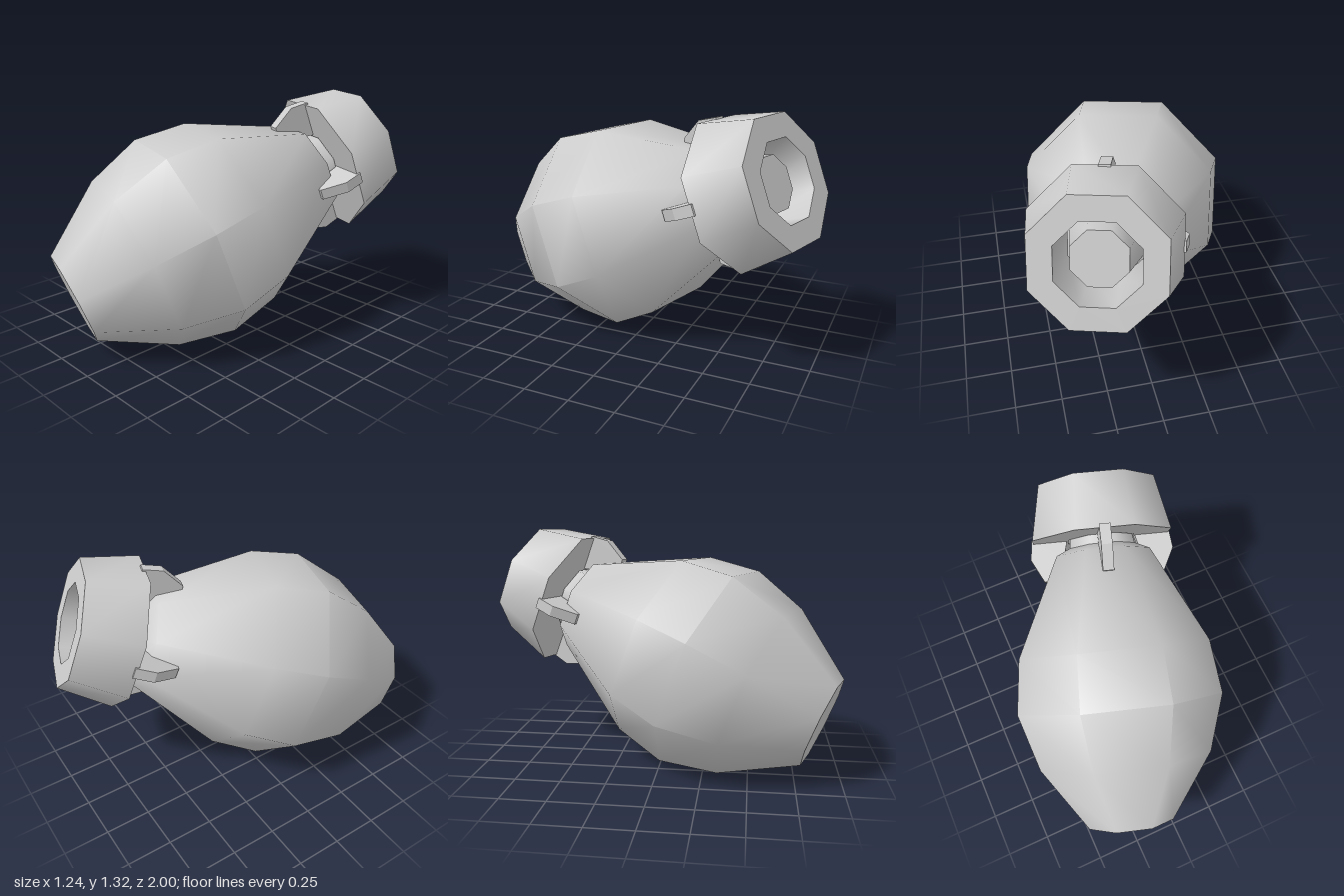
import * as THREE from 'three';
import { toCreasedNormals } from 'three/addons/utils/BufferGeometryUtils.js';

const grey = new THREE.MeshStandardMaterial({ color: 0xcccccc });

// Eight-sided turned part along +z, from [radius, distance from tail] pairs
function turned(name, profile) {
  const points = profile.map(([r, t]) => new THREE.Vector2(r, t));
  const geometry = new THREE.LatheGeometry(points, 8, Math.PI / 8);
  geometry.rotateX(Math.PI / 2);
  const mesh = new THREE.Mesh(toCreasedNormals(geometry, THREE.MathUtils.degToRad(50)), grey);
  mesh.name = name;
  return mesh;
}

export function createModel() {
  const model = new THREE.Group();
  model.name = 'bomb';

  // Everything is built nose-forward along +z, then tilted down and to the side
  const shell = new THREE.Group();
  shell.name = 'shell';
  model.add(shell);

  // Bulging body with a flat nose, stepped neck and recessed tail disc
  shell.add(turned('body', [
    [0, 0.08], [0.15, 0.08], [0.2, 0.36], [0.285, 0.4],
    [0.57, 0.95], [0.612, 1.25], [0.515, 1.57], [0.26, 1.95], [0, 1.95],
  ]));

  // Hollow tail collar, wider at its front
  shell.add(turned('tailCollar', [
    [0.22, 0], [0.35, 0], [0.42, 0.31], [0.2, 0.31], [0.22, 0],
  ].reverse().map((p) => p).reverse()));

  // Four small fins bracing the collar against the body
  const outline = new THREE.Shape([
    [0.29, 0.19], [0.29, 0.395], [0.4, 0.41], [0.53, 0.345], [0.53, 0.28], [0.4, 0.22],
  ].map(([t, r]) => new THREE.Vector2(t, r)));
  const finGeometry = new THREE.ExtrudeGeometry(outline, { depth: 0.06, bevelEnabled: false });
  finGeometry.translate(0, 0, -0.03).rotateY(-Math.PI / 2);
  for (let i = 0; i < 4; i++) {
    const fin = new THREE.Mesh(finGeometry, grey);
    fin.name = 'fin';
    fin.rotation.z = (i * Math.PI) / 2;
    shell.add(fin);
  }

  shell.lookAt(-0.287, -0.358, 0.889);
  shell.rotateZ(-0.03);
  shell.position.set(0.3, 1.0, -0.84);
  return model;
}
